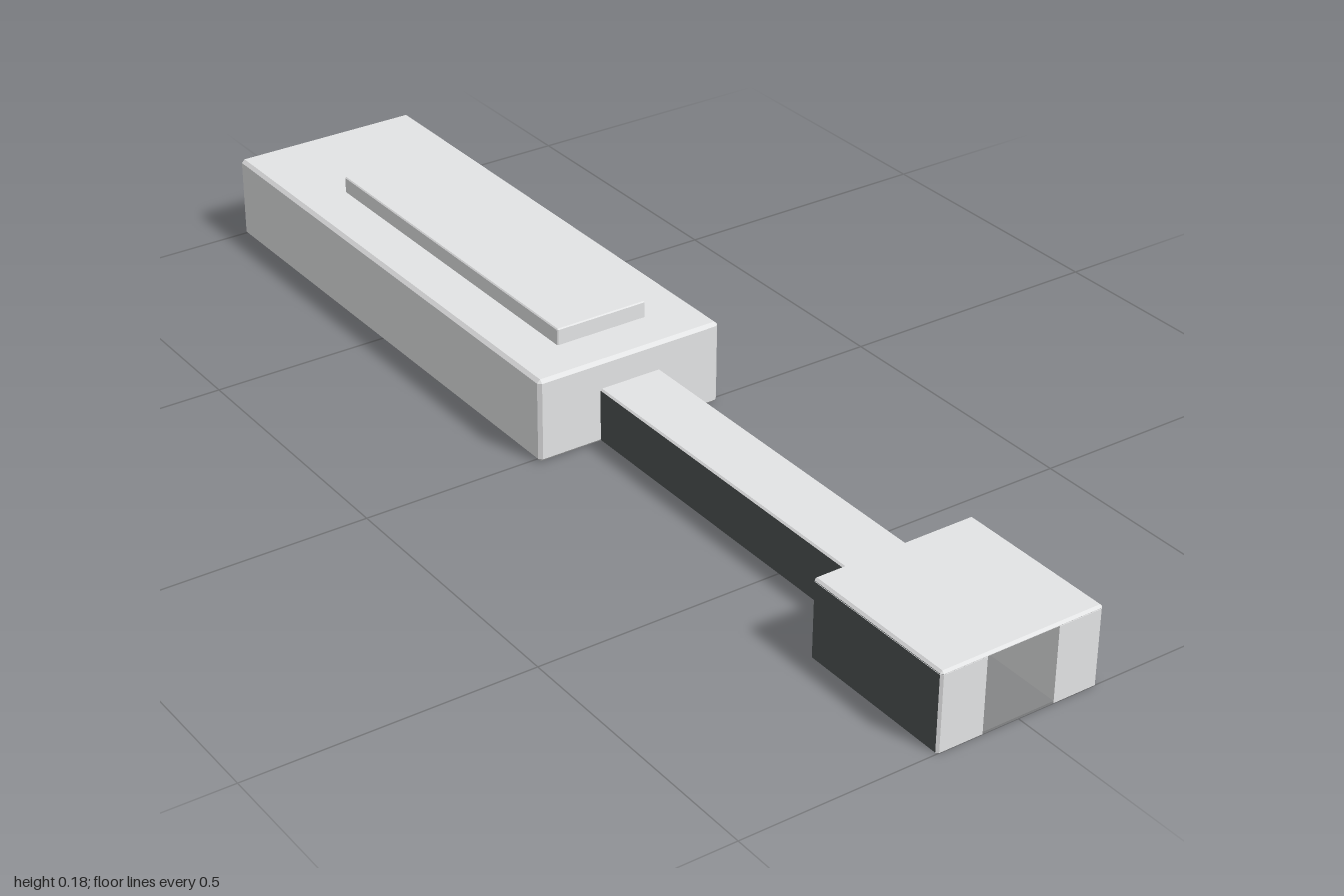
import * as THREE from 'three';
import { ConvexGeometry } from 'three/addons/geometries/ConvexGeometry.js';

const lightGrey = new THREE.MeshStandardMaterial({ color: 0xe3e4e5 });
lightGrey.name = 'light grey';
const darkGrey = new THREE.MeshStandardMaterial({ color: 0x4e5353 });
darkGrey.name = 'dark grey';
const midGrey = new THREE.MeshStandardMaterial({ color: 0x858687 });
midGrey.name = 'mid grey';

// Box with chamfered edges, given by its lower and upper corners
function chamferBox([x0, y0, z0], [x1, y1, z1], c) {
  const points = [];
  const mid = new THREE.Vector3((x0 + x1) / 2, (y0 + y1) / 2, (z0 + z1) / 2);
  const half = new THREE.Vector3((x1 - x0) / 2, (y1 - y0) / 2, (z1 - z0) / 2);
  for (const sx of [-1, 1]) for (const sy of [-1, 1]) for (const sz of [-1, 1]) {
    for (const axis of ['x', 'y', 'z']) {
      const p = half.clone().subScalar(c);
      p[axis] += c;
      points.push(p.multiply(new THREE.Vector3(sx, sy, sz)).add(mid));
    }
  }
  return new ConvexGeometry(points);
}

// Outer sides take material 1, the underside material 2, everything else material 0
function paintSides(geometry) {
  geometry.clearGroups();
  const pos = geometry.attributes.position;
  const tri = new THREE.Triangle();
  const normal = new THREE.Vector3();
  for (let i = 0; i < pos.count; i += 3) {
    tri.setFromAttributeAndIndices(pos, i, i + 1, i + 2);
    tri.getNormal(normal);
    const outerSide = Math.abs(normal.x) > 0.8 && normal.x * tri.a.x > 0;
    geometry.addGroup(i, 3, outerSide ? 1 : normal.y < -0.8 ? 2 : 0);
  }
  return geometry;
}

export function createModel() {
  const group = new THREE.Group();
  const add = (name, geometry, material) => {
    const mesh = new THREE.Mesh(geometry, material);
    mesh.name = name;
    group.add(mesh);
  };
  const painted = [lightGrey, darkGrey, midGrey];

  // Wide rear body and its raised panel
  add('body', chamferBox([-0.18, 0, -1], [0.18, 0.154, 0.015], 0.006), lightGrey);
  add('raisedPanel', chamferBox([-0.088, 0.14, -0.77], [0.088, 0.184, -0.07], 0.002), lightGrey);

  // Narrow bar joining body and head
  add('bar', paintSides(chamferBox([-0.06, 0.002, 0], [0.06, 0.102, 0.725], 0.003)), painted);

  // Head: U-shaped walls around a slot that opens to the front
  const plan = new THREE.Shape([
    [-0.067, -1], [-0.067, -0.73], [0.067, -0.73], [0.067, -1],
    [0.147, -1], [0.151, -0.996], [0.151, -0.709], [0.147, -0.705],
    [-0.147, -0.705], [-0.151, -0.709], [-0.151, -0.996], [-0.147, -1],
  ].map(([x, y]) => new THREE.Vector2(x, y)));
  const walls = new THREE.ExtrudeGeometry(plan, { depth: 0.134, bevelEnabled: false });
  walls.rotateX(-Math.PI / 2);
  add('headWalls', paintSides(walls), painted);
  add('headLid', paintSides(chamferBox([-0.151, 0.131, 0.705], [0.151, 0.14, 1], 0.004)), painted);

  // Thin floor of the slot
  const floor = new THREE.BoxGeometry(0.134, 0.004, 0.27);
  floor.translate(0, 0.002, 0.865);
  add('slotFloor', floor, midGrey);

  return group;
}
